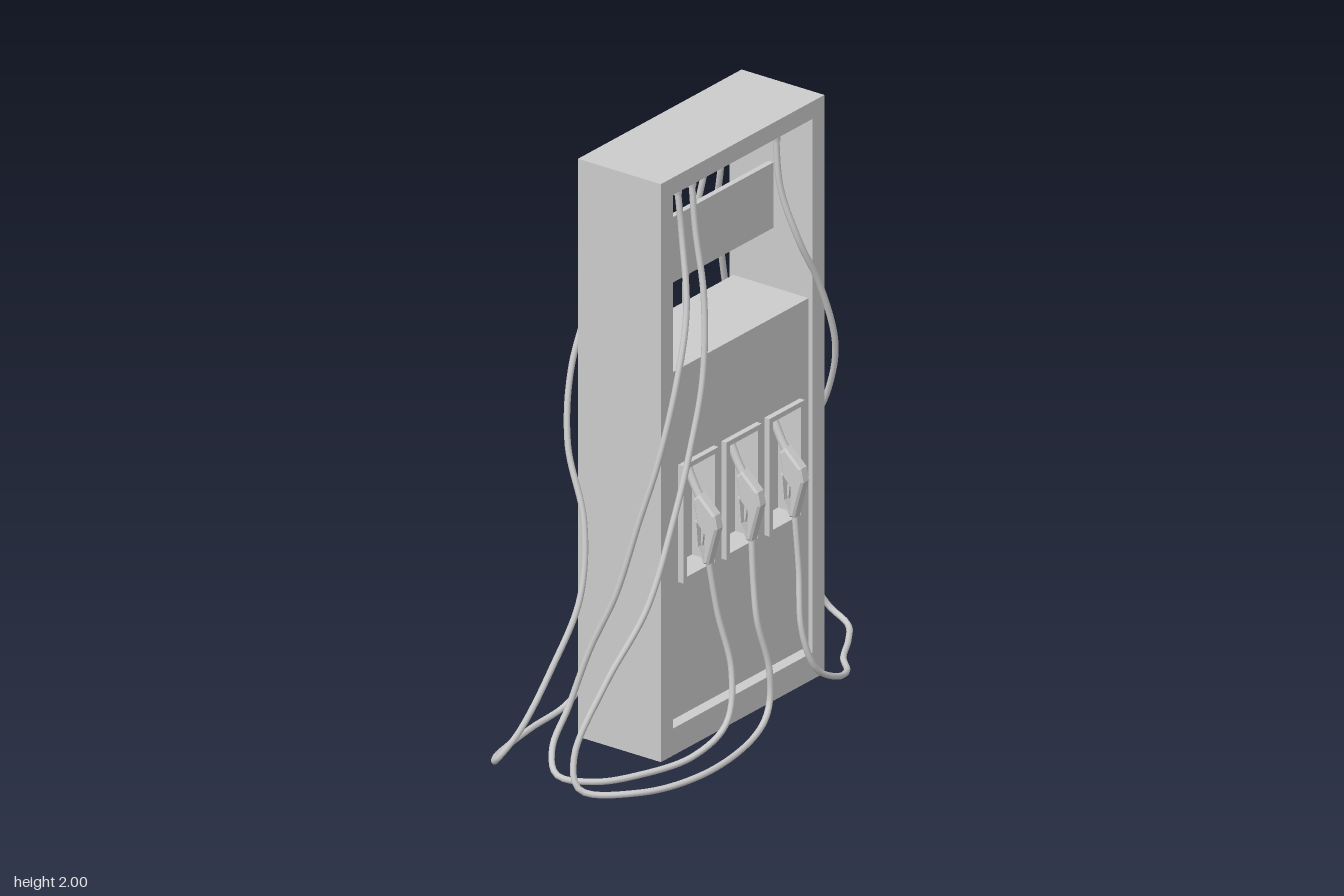
import * as THREE from 'three';

const grey = new THREE.MeshStandardMaterial({ color: 0xcccccc });

function add(parent, name, geometry, x = 0, y = 0, z = 0) {
  const mesh = new THREE.Mesh(geometry, grey);
  mesh.name = name;
  mesh.position.set(x, y, z);
  parent.add(mesh);
  return mesh;
}

function rect(Type, x0, y0, x1, y1) {
  const p = new Type();
  p.moveTo(x0, y0);
  p.lineTo(x1, y0);
  p.lineTo(x1, y1);
  p.lineTo(x0, y1);
  p.closePath();
  return p;
}

const polygon = (Type, points) => new Type(points.map(([x, y]) => new THREE.Vector2(x, y)));

// Plate with rectangular holes, extruded towards +z
function plate(outer, holes, depth) {
  const shape = rect(THREE.Shape, ...outer);
  holes.forEach((h) => shape.holes.push(rect(THREE.Path, ...h)));
  return new THREE.ExtrudeGeometry(shape, { depth, bevelEnabled: false });
}

const CX = -0.0525, CZ = -0.0075;
const BAYS = [-0.225, 0, 0.225];
const HALF_DEPTH = 0.1625, FACE = 0.148, POCKET = 0.07;

// Nozzle hanging with the spout up; the profile is drawn in z and y
function makeNozzle() {
  const nozzle = new THREE.Group();
  nozzle.name = 'nozzle';
  const side = (name, points, hole, width, bevel) => {
    const shape = polygon(THREE.Shape, points);
    if (hole) shape.holes.push(polygon(THREE.Path, hole));
    const g = new THREE.ExtrudeGeometry(shape, {
      depth: width - 2 * bevel, bevelEnabled: bevel > 0, bevelSize: bevel,
      bevelThickness: bevel, bevelOffset: -bevel, bevelSegments: 1,
    });
    g.translate(0, 0, bevel - width / 2);
    g.rotateY(-Math.PI / 2);
    add(nozzle, name, g);
  };
  side('nozzleBody', [[0.15, 0.845], [0.165, 0.765], [0.192, 0.735], [0.188, 0.635], [0.208, 0.635],
    [0.222, 0.69], [0.243, 0.765], [0.234, 0.81], [0.172, 0.868]], null, 0.042, 0.007);
  side('triggerGuard', [[0.15, 0.77], [0.158, 0.68], [0.185, 0.635], [0.205, 0.645], [0.215, 0.77]],
    [[0.158, 0.765], [0.165, 0.685], [0.187, 0.648], [0.197, 0.652], [0.205, 0.765]], 0.022, 0);
  side('trigger', [[0.175, 0.765], [0.172, 0.7], [0.178, 0.69], [0.187, 0.765]], null, 0.014, 0);
  const spout = new THREE.CatmullRomCurve3([
    new THREE.Vector3(0, 0.835, 0.175), new THREE.Vector3(0, 0.88, 0.147), new THREE.Vector3(0, 0.95, 0.112),
  ]);
  add(nozzle, 'spout', new THREE.TubeGeometry(spout, 8, 0.014, 10));
  add(nozzle, 'spoutTip', new THREE.CircleGeometry(0.014, 10), 0, 0.95, 0.112).rotation.x = -1.1;
  return nozzle;
}

// One service face: panel with three pockets, trims and nozzles
function makeFace() {
  const face = new THREE.Group();
  const pockets = BAYS.map((x) => [x - 0.073, 0.605, x + 0.073, 0.975]);
  add(face, 'pocketPanel', plate([-0.3645, 0.125, 0.3645, 1.32], pockets, POCKET), 0, 0, FACE - POCKET);
  BAYS.forEach((x, i) => {
    add(face, 'pocketTrim', plate([x - 0.0925, 0.588, x + 0.0925, 0.992], [pockets[i]], 0.022), 0, 0, FACE - 0.002);
    add(face, 'nozzleHolder', new THREE.BoxGeometry(0.036, 0.05, 0.03), x, 0.935, FACE - POCKET + 0.015);
    const nozzle = makeNozzle();
    nozzle.position.x = x;
    face.add(nozzle);
  });
  return face;
}

// Hose paths run from the ceiling, down to the ground and back up to a nozzle
const HOSES = {
  frontLeftBayHose: [[-0.31, 1.93, 0.09], [-0.31, 1.75, 0.11], [-0.36, 1.52, 0.165], [-0.44, 1.3, 0.185],
    [-0.51, 1.05, 0.165], [-0.55, 0.85, 0.12], [-0.59, 0.6, 0.06], [-0.62, 0.4, -0.02], [-0.67, 0.21, -0.065],
    [-0.75, 0.1, -0.068], [-0.815, 0.045, 0], [-0.76, 0.03, 0.1], [-0.64, 0.03, 0.18], [-0.45, 0.05, 0.26],
    [-0.31, 0.12, 0.285], [-0.25, 0.27, 0.26], [-0.262, 0.46, 0.215], [-0.2775, 0.645, 0.19]],
  frontMiddleBayHose: [[-0.235, 1.93, 0.09], [-0.24, 1.75, 0.11], [-0.255, 1.53, 0.155], [-0.295, 1.27, 0.18],
    [-0.36, 1.05, 0.18], [-0.45, 0.85, 0.185], [-0.58, 0.58, 0.175], [-0.72, 0.36, 0.12], [-0.84, 0.14, 0.085],
    [-0.86, 0.045, 0.12], [-0.73, 0.025, 0.26], [-0.5, 0.025, 0.335], [-0.17, 0.035, 0.297], [-0.055, 0.08, 0.26],
    [-0.04, 0.2, 0.25], [-0.07, 0.37, 0.225], [-0.063, 0.5, 0.205], [-0.0525, 0.645, 0.19]],
  frontRightBayHose: [[0.205, 1.93, 0.09], [0.205, 1.73, 0.11], [0.235, 1.55, 0.16], [0.31, 1.38, 0.185],
    [0.385, 1.15, 0.19], [0.415, 0.97, 0.14], [0.42, 0.8, 0.06], [0.45, 0.58, -0.025], [0.55, 0.36, -0.09],
    [0.65, 0.18, -0.11], [0.71, 0.06, -0.08], [0.7, 0.025, 0], [0.6, 0.025, 0.08], [0.48, 0.025, 0.15],
    [0.4, 0.03, 0.225], [0.29, 0.06, 0.265], [0.18, 0.13, 0.265], [0.142, 0.27, 0.24], [0.168, 0.46, 0.21],
    [0.1725, 0.645, 0.19]],
  backLeftBayHose: [[-0.315, 1.93, -0.105], [-0.32, 1.75, -0.125], [-0.37, 1.53, -0.18], [-0.46, 1.27, -0.21],
    [-0.52, 1.03, -0.18], [-0.555, 0.8, -0.09], [-0.62, 0.57, -0.057], [-0.73, 0.36, -0.085], [-0.84, 0.17, -0.13],
    [-0.88, 0.07, -0.19], [-0.78, 0.035, -0.26], [-0.54, 0.025, -0.31], [-0.36, 0.05, -0.3], [-0.27, 0.15, -0.27],
    [-0.25, 0.32, -0.25], [-0.27, 0.5, -0.225], [-0.2775, 0.645, -0.205]],
  backMiddleBayHose: [[0.13, 1.93, -0.105], [0.12, 1.75, -0.125], [0.107, 1.52, -0.17], [0.12, 1.3, -0.2],
    [0.19, 0.97, -0.22], [0.29, 0.7, -0.22], [0.4, 0.525, -0.21], [0.6, 0.29, -0.195], [0.8, 0.08, -0.195],
    [0.875, 0.025, -0.25], [0.8, 0.02, -0.325], [0.6, 0.015, -0.342], [0.4, 0.012, -0.335], [0.2, 0.014, -0.31],
    [0, 0.05, -0.285], [-0.055, 0.17, -0.27], [-0.06, 0.4, -0.23], [-0.0525, 0.645, -0.205]],
  backRightBayHose: [[0.205, 1.93, -0.105], [0.205, 1.73, -0.125], [0.25, 1.55, -0.175], [0.31, 1.38, -0.2],
    [0.38, 1.15, -0.22], [0.41, 0.95, -0.19], [0.42, 0.7, -0.135], [0.435, 0.48, -0.1], [0.47, 0.28, -0.065],
    [0.53, 0.12, -0.045], [0.59, 0.035, -0.08], [0.58, 0.02, -0.15], [0.5, 0.018, -0.23], [0.4, 0.018, -0.285],
    [0.28, 0.03, -0.315], [0.19, 0.12, -0.29], [0.15, 0.3, -0.25], [0.168, 0.47, -0.222], [0.1725, 0.645, -0.205]],
};

export function createModel() {
  const model = new THREE.Group();
  model.name = 'fuelPump';
  const cabinet = new THREE.Group();
  cabinet.name = 'cabinet';
  cabinet.position.set(CX, 0, CZ);
  model.add(cabinet);

  // Outer frame, sign board and central core
  add(cabinet, 'frame', plate([-0.4275, 0.012, 0.4275, 2], [[-0.3645, 0.105, 0.3645, 1.94]], 2 * HALF_DEPTH), 0, 0, -HALF_DEPTH);
  add(cabinet, 'signBoard', new THREE.BoxGeometry(0.729, 0.225, 0.02), 0, 1.6375, 0);
  add(cabinet, 'bodyCore', new THREE.BoxGeometry(0.729, 1.195, 2 * (FACE - POCKET)), 0, 0.7225, 0);

  // Matching service faces on both sides
  ['frontFace', 'backFace'].forEach((name, i) => {
    const face = makeFace();
    face.name = name;
    face.rotation.y = i * Math.PI;
    cabinet.add(face);
  });

  // Hoses with stepped couplings at the ceiling
  for (const [name, points] of Object.entries(HOSES)) {
    const curve = new THREE.CatmullRomCurve3(points.map((p) => new THREE.Vector3(...p)));
    add(model, name, new THREE.TubeGeometry(curve, 140, 0.0105, 8));
    const [x, , z] = points[0];
    add(model, 'hoseCoupling', new THREE.CylinderGeometry(0.013, 0.013, 0.05, 12), x, 1.915, z);
    add(model, 'couplingNut', new THREE.CylinderGeometry(0.018, 0.018, 0.022, 6), x, 1.9, z);
  }
  return model;
}
